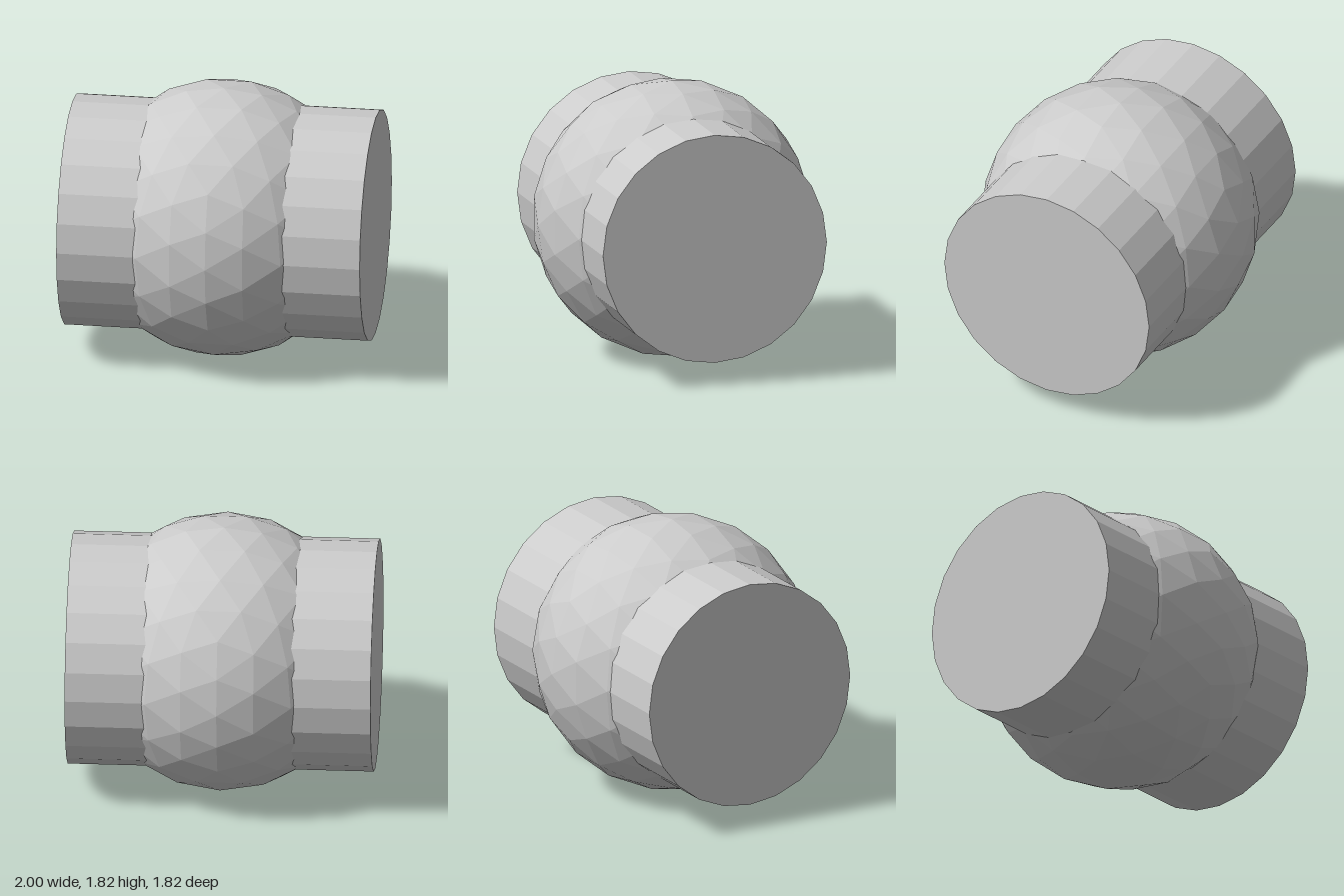
import * as THREE from 'three';

const RADIUS = 0.912;
const CENTER_Y = 0.913;

// Icosphere: each triangle of a once-divided icosahedron is split at its edge midpoints
function icosphere(radius) {
  const base = new THREE.IcosahedronGeometry(radius, 1).attributes.position;
  const corner = (i) => new THREE.Vector3().fromBufferAttribute(base, i);
  const mid = (p, q) => p.clone().add(q).setLength(radius);
  const points = [];
  for (let i = 0; i < base.count; i += 3) {
    const [a, b, c] = [corner(i), corner(i + 1), corner(i + 2)];
    const [ab, bc, ca] = [mid(a, b), mid(b, c), mid(c, a)];
    points.push(a, ab, ca, ab, b, bc, ca, bc, c, ab, bc, ca);
  }
  const geometry = new THREE.BufferGeometry().setFromPoints(points);
  geometry.computeVertexNormals();
  return geometry;
}

export function createModel() {
  const group = new THREE.Group();
  const material = new THREE.MeshStandardMaterial({ color: 0xcccccc, flatShading: true });

  // Faceted ball in the middle
  const ball = new THREE.Mesh(icosphere(RADIUS), material);
  ball.name = 'ball';

  // Barrel running through the ball from side to side
  const barrel = new THREE.Mesh(
    new THREE.CylinderGeometry(0.761, 0.761, 2, 24).rotateZ(Math.PI / 2),
    material
  );
  barrel.name = 'barrel';

  for (const part of [ball, barrel]) {
    part.position.y = CENTER_Y;
    group.add(part);
  }
  return group;
}
